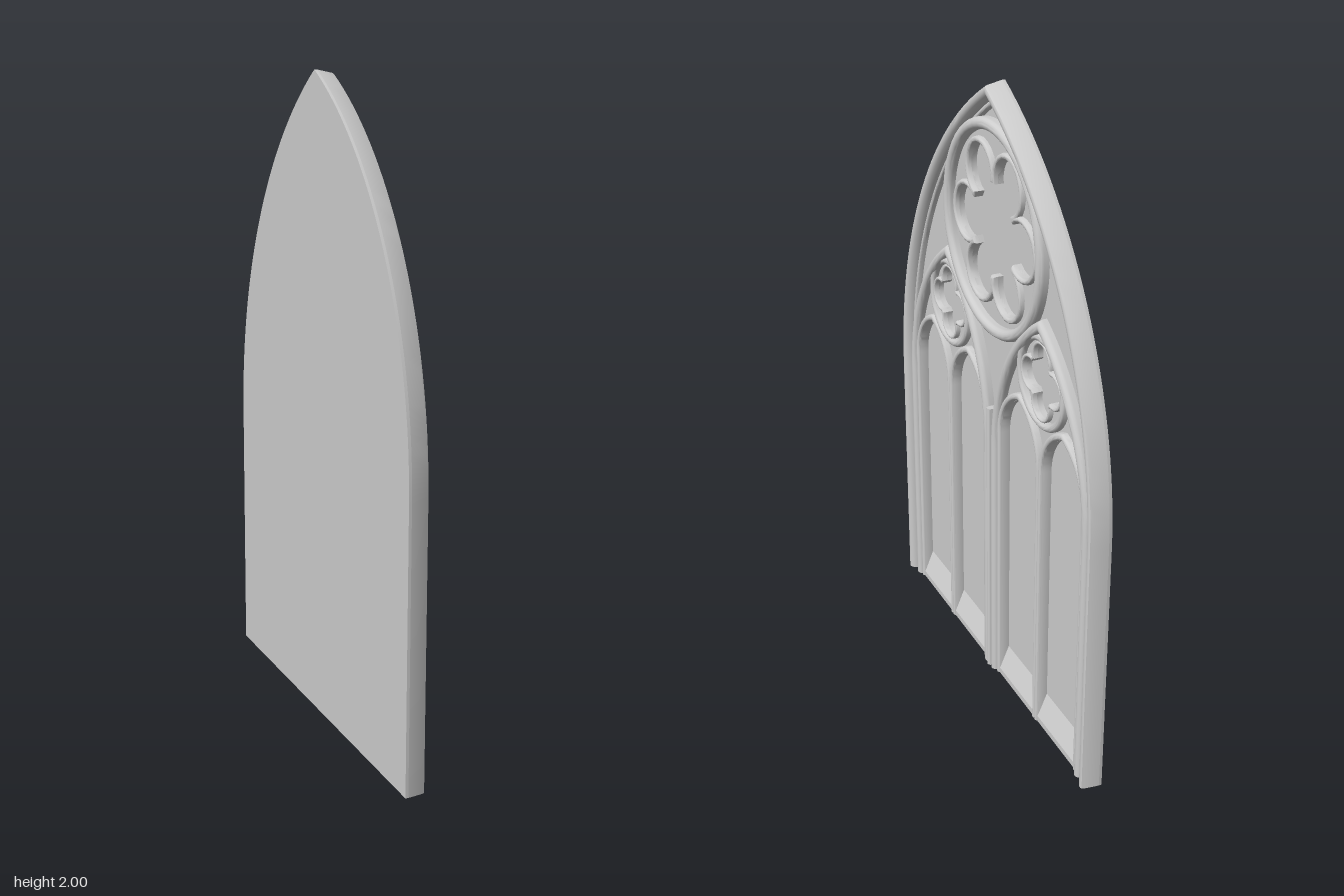
import * as THREE from 'three';
import { toCreasedNormals } from 'three/addons/utils/BufferGeometryUtils.js';

const BACK = -0.033, GLASS = -0.024;
const V = (x, y) => new THREE.Vector2(x, y);

// Pointed arch outline, right foot -> apex -> left foot.
function arch(cx, half, spring, apex, foot = 0, steps = 20) {
  const rise = apex - spring, c = (half * half - rise * rise) / (2 * half), R = half - c;
  const end = Math.atan2(rise, -c), right = [V(half, foot)];
  for (let i = 0; i <= steps; i++) {
    const a = (end * i) / steps;
    right.push(V(c + R * Math.cos(a), spring + R * Math.sin(a)));
  }
  right[right.length - 1].x = 0;
  const left = right.slice(0, -1).reverse().map(p => V(-p.x, p.y));
  return [...right, ...left].map(p => V(p.x + cx, p.y));
}

function circle(cx, cy, r, n = 56) {
  return Array.from({ length: n }, (_, i) => {
    const a = (i / n) * Math.PI * 2;
    return V(cx + r * Math.cos(a), cy + r * Math.sin(a));
  });
}

// Foiled opening: n round lobes separated by blunt cusps.
function foil(cx, cy, n, reach, tip, blunt, phase, steps = 16) {
  const rad = Math.hypot(tip, blunt), ang = Math.PI / n - Math.atan2(blunt, tip);
  const ex = rad * Math.cos(ang), ey = rad * Math.sin(ang);
  const d = (reach * reach - rad * rad) / (2 * (reach - ex)), r = reach - d;
  const sweepAngle = Math.atan2(ey, ex - d), pts = [];
  for (let k = 0; k < n; k++) {
    for (let i = 0; i <= steps; i++) {
      const a = -sweepAngle + (2 * sweepAngle * i) / steps;
      const p = V(d + r * Math.cos(a), r * Math.sin(a));
      p.rotateAround(V(0, 0), phase + (k * Math.PI * 2) / n);
      pts.push(V(cx + p.x, cy + p.y));
    }
  }
  return pts;
}

// Half-round profile as [offset, depth] pairs.
function bead(from, to, top, base = GLASS, n = 8) {
  const mid = (from + to) / 2, w = (to - from) / 2, shoulder = top - Math.min(w, top - base);
  const pts = [[from, base]];
  for (let i = 0; i <= n; i++) {
    const a = Math.PI * (1 - i / n);
    pts.push([mid + w * Math.cos(a), shoulder + (top - shoulder) * Math.sin(a)]);
  }
  return [...pts, [to, base]];
}

// Sweep a profile along a flat path with mitred corners; positive offset is to the left.
function sweep(path, profile, closed = false) {
  const n = path.length, m = profile.length, pos = [], idx = [];
  path.forEach((p, j) => {
    const prev = closed ? path[(j + n - 1) % n] : path[Math.max(j - 1, 0)];
    const next = closed ? path[(j + 1) % n] : path[Math.min(j + 1, n - 1)];
    let a = p.clone().sub(prev).normalize(), b = next.clone().sub(p).normalize();
    if (a.lengthSq() === 0) a = b;
    if (b.lengthSq() === 0) b = a;
    const t = a.clone().add(b).normalize();
    const k = Math.min(1 / Math.max(t.dot(a), 0.1), 1.6);
    for (const [o, z] of profile) pos.push(p.x - t.y * o * k, p.y + t.x * o * k, z);
  });
  for (let j = 0; j < (closed ? n : n - 1); j++) {
    for (let i = 0; i < m - 1; i++) {
      const a = j * m + i, b = ((j + 1) % n) * m + i;
      idx.push(a, b, b + 1, a, b + 1, a + 1);
    }
  }
  if (!closed) {
    const e = (n - 1) * m;
    for (let i = 1; i < m - 1; i++) idx.push(0, i, i + 1, e, e + i + 1, e + i);
  }
  const g = new THREE.BufferGeometry();
  g.setAttribute('position', new THREE.Float32BufferAttribute(pos, 3));
  g.setIndex(idx);
  return toCreasedNormals(g, 0.65);
}

// Flat plate with openings between two depths.
function plate(outline, holes, z0, z1) {
  const s = new THREE.Shape(outline);
  holes.forEach(h => s.holes.push(new THREE.Path(h)));
  const g = new THREE.ExtrudeGeometry(s, { depth: z1 - z0, bevelEnabled: false });
  g.translate(0, 0, z0);
  return toCreasedNormals(g, 0.5);
}

export function createModel() {
  const stone = new THREE.MeshStandardMaterial({ color: 0xcccccc });
  stone.name = 'pale stone';
  const model = new THREE.Group();
  model.name = 'traceryWindow';
  const win = new THREE.Group();
  win.name = 'window';
  win.rotation.y = Math.PI / 2; // the window looks along +x
  model.add(win);
  const add = (name, geo) => {
    const mesh = new THREE.Mesh(geo, stone);
    mesh.name = name;
    win.add(mesh);
    return mesh;
  };

  // Back panel and outer frame
  const outer = arch(0, 0.685, 0.85, 2, 0, 32);
  add('backPanel', plate(outer, [], BACK, GLASS));
  add('outerFrame', sweep(outer, [
    [0, GLASS], [0.008, 0.024], [0.011, 0.03], [0.016, 0.032], [0.026, 0.031],
    [0.034, 0.025], [0.04, 0.014], [0.043, 0.002], [0.044, GLASS]]));
  add('frameInnerBead', sweep(outer, bead(0.042, 0.058, 0.008)));

  // Main tracery plate, pierced for the rose and the two sub-arches
  const SUB = 0.32, ROSE = 1.56;
  const subArch = s => arch(s * SUB, 0.295, 0.85, 1.385);
  const subHole = s => arch(s * SUB, 0.295, 0.85, 1.385, 0.003);
  add('spandrelPlate', plate(arch(0, 0.65, 0.85, 1.945, 0, 32),
    [circle(0, ROSE, 0.312), subHole(1), subHole(-1)], GLASS, -0.01));

  // Round light: ring, pierced disc and foil rim
  function roundLight(name, cx, cy, r, ringHalf, ringTop, foilPath, rim) {
    add(name + 'Ring', sweep(circle(cx, cy, r), bead(-ringHalf, ringHalf, ringTop), true));
    add(name + 'Disc', plate(circle(cx, cy, r), [foilPath], GLASS, -0.006));
    add(name + 'FoilRim', sweep(foilPath, bead(-rim, 0, 0.01), true));
  }
  roundLight('rose', 0, ROSE, 0.312, 0.018, 0.024,
    foil(0, ROSE, 6, 0.262, 0.143, 0.012, 0), 0.018);

  // Two sub-arches, each with a small round light and two lancets
  for (const s of [1, -1]) {
    const cx = s * SUB, lancets = [cx - 0.1385, cx + 0.1385];
    add('subArchMoulding', sweep(subArch(s), bead(-0.017, 0.017, 0.022)));
    add('subArchPlate', plate(subArch(s),
      [circle(cx, 1.21, 0.135), ...lancets.map(x => arch(x, 0.122, 0.92, 1.085, 0.003))],
      GLASS, -0.008));
    roundLight('quatrefoil', cx, 1.21, 0.135, 0.013, 0.014,
      foil(cx, 1.21, 4, 0.115, 0.07, 0.008, 0), 0.011);
    lancets.forEach(x => add('lancetMoulding',
      sweep(arch(x, 0.132, 0.92, 1.1), bead(-0.01, 0.012, 0.013))));

    // Sloping sill
    const sill = new THREE.BoxGeometry(0.59, 0.1, 0.032);
    const p = sill.attributes.position;
    for (let i = 0; i < p.count; i++) {
      if (p.getY(i) > 0 && p.getZ(i) > 0) p.setY(i, -0.03);
    }
    sill.computeVertexNormals();
    sill.translate(cx, 0.05, GLASS + 0.016);
    add('sill', sill);
  }

  // Slim shaft up the middle of the central mullion
  add('centreShaft', sweep([V(0, 0), V(0, 0.98)], bead(-0.011, 0.011, 0.026)));
  return model;
}
